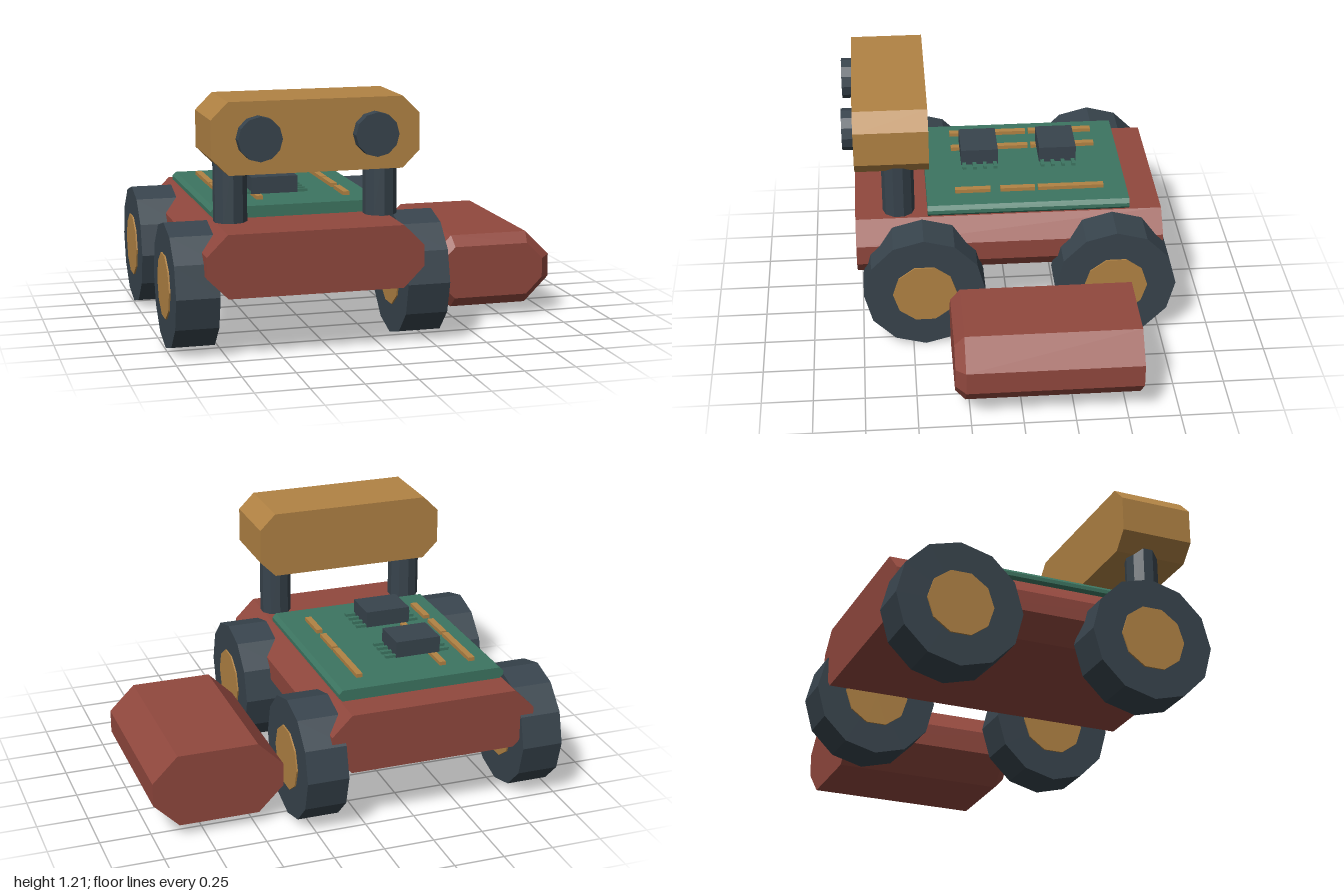
import * as THREE from 'three';
import { ConvexGeometry } from 'three/addons/geometries/ConvexGeometry.js';

const red = new THREE.MeshStandardMaterial({ color: 0x91483e });
red.name = 'brick red';
const ochre = new THREE.MeshStandardMaterial({ color: 0xb28344 });
ochre.name = 'ochre';
const green = new THREE.MeshStandardMaterial({ color: 0x3d7561 });
green.name = 'board green';
const dark = new THREE.MeshStandardMaterial({ color: 0x38444d });
dark.name = 'dark slate';

const MID = -0.339; // centre line of the rover

export function createModel() {
  const model = new THREE.Group();
  model.name = 'rover';

  function add(name, geometry, material, x, y, z, parent = model) {
    const mesh = new THREE.Mesh(geometry, material);
    mesh.name = name;
    mesh.position.set(x, y, z);
    parent.add(mesh);
    return mesh;
  }

  // Corners of a rectangle with cut corners, counter-clockwise
  function octagon(w, h, cut) {
    const a = w / 2, b = h / 2;
    return [
      [a, -b + cut], [a, b - cut], [a - cut, b], [-a + cut, b],
      [-a, b - cut], [-a, -b + cut], [-a + cut, -b], [a - cut, -b],
    ];
  }

  // Octagonal bar along z, centred on its origin
  function bar(w, h, depth, cut) {
    const shape = new THREE.Shape(octagon(w, h, cut).map(([x, y]) => new THREE.Vector2(x, y)));
    return new THREE.ExtrudeGeometry(shape, { depth, bevelEnabled: false }).translate(0, 0, -depth / 2);
  }

  // Faceted cylinder along y
  function facetedCylinder(radius, height, sides) {
    const g = new THREE.CylinderGeometry(radius, radius, height, sides).toNonIndexed();
    g.computeVertexNormals();
    return g;
  }

  // Chassis and circuit board
  add('chassis', bar(1.036, 0.3, 1.536, 0.1), red, MID, 0.45, 0);
  add('circuitBoard', bar(0.852, 0.057, 1.013, 0.019), green, MID, 0.6275, -0.1);

  // Wheels, each with a hub standing slightly proud on both sides
  const tyre = facetedCylinder(0.303, 0.206, 12).rotateZ(Math.PI / 2);
  const hub = facetedCylinder(0.159, 0.221, 10).rotateZ(Math.PI / 2);
  for (const side of [-1, 1]) {
    for (const z of [0.437, -0.515]) {
      const wheel = new THREE.Group();
      wheel.name = (z > 0 ? 'front' : 'rear') + (side > 0 ? 'LeftWheel' : 'RightWheel');
      wheel.position.set(MID + side * 0.553, 0.303, z);
      add('tyre', tyre, dark, 0, 0, 0, wheel);
      add('hub', hub, ochre, 0, 0, 0, wheel);
      model.add(wheel);
    }
  }

  // Camera head with two lenses on two posts
  add('head', bar(0.98, 0.335, 0.365, 0.08), ochre, MID, 1.0375, 0.5775);
  const lens = facetedCylinder(0.103, 0.1, 12).rotateX(Math.PI / 2);
  const post = facetedCylinder(0.08, 0.32, 10);
  for (const side of [-1, 1]) {
    add('lens', lens, dark, MID + side * 0.274, 1.038, 0.765);
    add('post', post, dark, MID + side * 0.362, 0.78, 0.55);
  }

  // Chips with rows of pins
  for (const z of [0.123, -0.28]) {
    const chip = new THREE.Group();
    chip.name = 'chip';
    chip.position.set(-0.41, 0, z);
    add('chipBody', new THREE.BoxGeometry(0.23, 0.082, 0.19), dark, 0, 0.717, 0, chip);
    for (let i = 0; i < 4; i++) {
      add('pins', new THREE.BoxGeometry(0.334, 0.014, 0.019), green, 0, 0.683, -0.079 + i * 0.053, chip);
    }
    model.add(chip);
  }

  // Board traces: three rows of three strips
  for (const x of [-0.647, -0.494, -0.06]) {
    for (const [z0, z1] of [[-0.49, -0.158], [-0.142, 0.033], [0.083, 0.262]]) {
      add('trace', new THREE.BoxGeometry(0.032, 0.022, z1 - z0), ochre, x, 0.664, (z0 + z1) / 2);
    }
  }

  // Separate pod beside the rover, bevelled at its front end only
  const podPoints = [];
  for (const [w, h, cut, z] of [
    [0.645, 0.365, 0.125, -0.57], [0.645, 0.365, 0.125, 0.272], [0.545, 0.262, 0.083, 0.32],
  ]) {
    for (const [x, y] of octagon(w, h, cut)) podPoints.push(new THREE.Vector3(x, y, z));
  }
  add('pod', new ConvexGeometry(podPoints), red, 0.6775, 0.2435, 0);

  return model;
}
